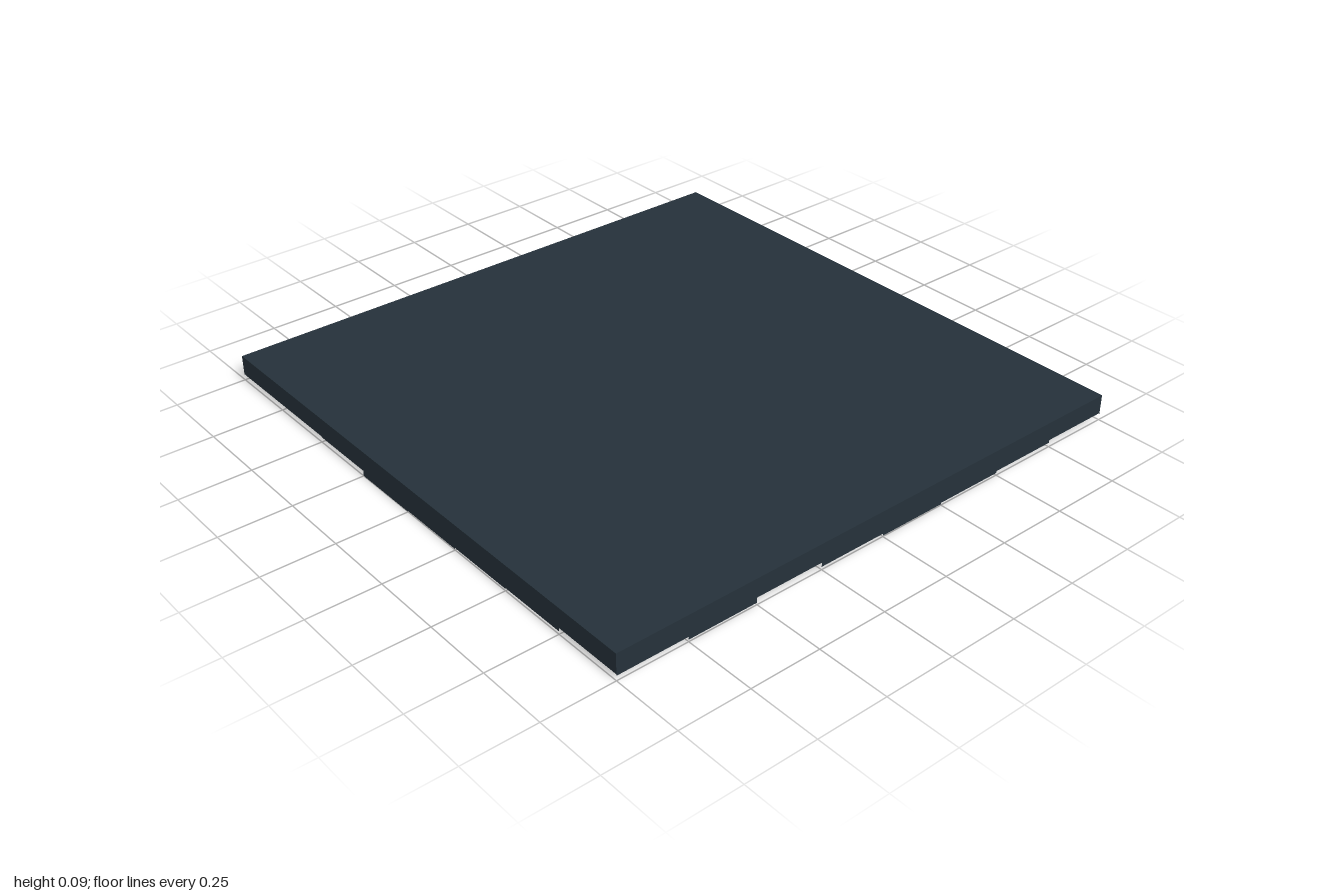
import * as THREE from 'three';

const TOP = 0.097;
const STRIP = 0.25;

// Bottom height of each skirt strip, listed from -1 to +1 along its side
const SKIRTS = {
  front: [0.022, 0.012, 0.03, 0.015, 0.008, 0.013, 0.02, 0.03],
  back: [0.025, 0.01, 0.01, 0.013, 0.02, 0.022, 0.022, 0.005],
  right: [0.007, 0.03, 0.022, 0.033, 0.015, 0.005, 0.012, 0.027],
  left: [0.027, 0.027, 0.024, 0.005, 0.008, 0.012, 0.015, 0.027],
};

export function createModel() {
  const group = new THREE.Group();
  const material = new THREE.MeshStandardMaterial({ color: 0x25313a, side: THREE.DoubleSide });

  // Flat square top sheet
  const topGeometry = new THREE.PlaneGeometry(2, 2).rotateX(-Math.PI / 2);
  const top = new THREE.Mesh(topGeometry, material);
  top.name = 'topSheet';
  top.position.y = TOP;
  group.add(top);

  // One side of the open-bottomed skirt: eight thin strips of uneven depth
  function addSkirt(name, angle, reversed) {
    const side = new THREE.Group();
    side.name = name + 'Skirt';
    const bottoms = reversed ? [...SKIRTS[name]].reverse() : SKIRTS[name];
    bottoms.forEach((bottom, i) => {
      const strip = new THREE.Mesh(new THREE.PlaneGeometry(STRIP, TOP - bottom), material);
      strip.name = name + 'Strip' + (i + 1);
      strip.position.set(-1 + STRIP * (i + 0.5), (TOP + bottom) / 2, 1);
      side.add(strip);
    });
    side.rotation.y = angle;
    group.add(side);
  }
  addSkirt('front', 0, false);
  addSkirt('back', Math.PI, true);
  addSkirt('right', Math.PI / 2, true);
  addSkirt('left', -Math.PI / 2, false);

  // Stand the lowest strip on the ground
  const lowest = Math.min(...Object.values(SKIRTS).flat());
  group.children.forEach((part) => { part.position.y -= lowest; });
  return group;
}
